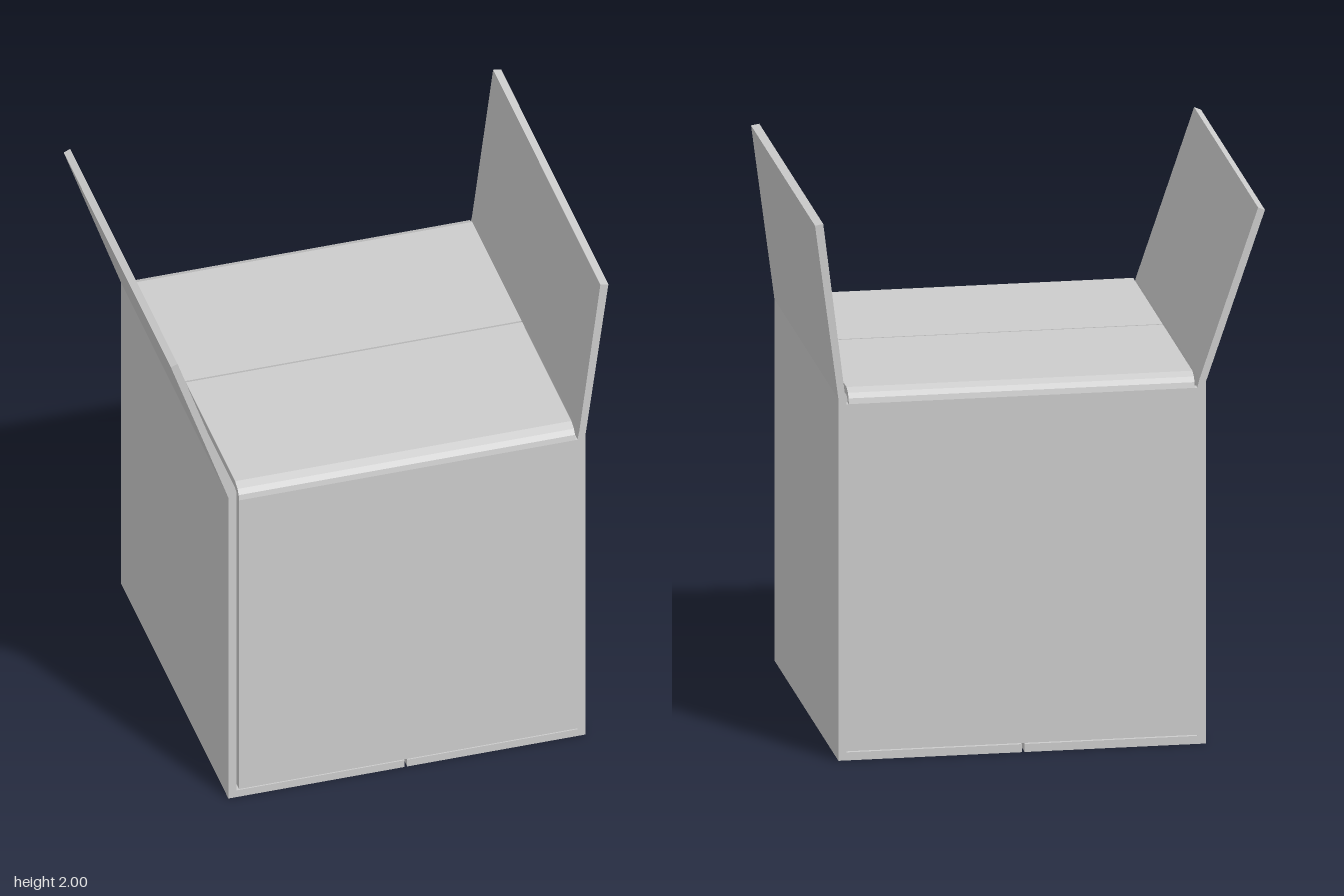
import * as THREE from 'three';

const cardboard = new THREE.MeshStandardMaterial({ color: 0xcccccc });
cardboard.name = 'plain grey card';

const DEPTH = 0.67; // half depth of the box

// Extrude a closed profile and give it a part name
function sheet(name, points, length) {
  const shape = new THREE.Shape(points.map(([u, v]) => new THREE.Vector2(u, v)));
  const geometry = new THREE.ExtrudeGeometry(shape, { depth: length, bevelEnabled: false });
  const mesh = new THREE.Mesh(geometry, cardboard);
  mesh.name = name;
  return mesh;
}

// Sheet with its profile in x-y, running the full depth
function alongZ(name, points) {
  const mesh = sheet(name, points, DEPTH * 2);
  mesh.geometry.translate(0, 0, -DEPTH);
  return mesh;
}

// Sheet with its profile in z-y, running from x0 to x1
function alongX(name, points, x0, x1) {
  const mesh = sheet(name, points, x1 - x0);
  mesh.geometry.rotateY(-Math.PI / 2).translate(x1, 0, 0);
  return mesh;
}

export function createModel() {
  const box = new THREE.Group();
  box.name = 'openBox';

  // Side walls, each folded from outer bottom flap to raised top flap
  box.add(alongZ('rightWallAndFlaps', [
    [0.053, 0], [-0.605, 0], [-0.605, 1.345], [-0.82, 1.975], [-0.795, 1.985],
    [-0.583, 1.36], [-0.575, 1.33], [-0.575, 0.03], [0.053, 0.03],
  ]));
  box.add(alongZ('leftWallAndFlaps', [
    [0.063, 0], [0.73, 0], [0.73, 1.345], [0.815, 1.995], [0.785, 2],
    [0.706, 1.36], [0.7, 1.33], [0.7, 0.03], [0.063, 0.03],
  ]));

  // Front and back walls with inner bottom flaps and closed top flaps
  for (const [side, s] of [['front', 1], ['back', -1]]) {
    const flip = (points) => points.map(([z, y]) => [z * s, y]);
    const seam = s > 0 ? -0.565 : -0.575; // open glue seam at one front corner
    box.add(alongX(side + 'Wall', flip([
      [0.005, 0.034], [0.67, 0.034], [0.67, 1.325], [0.64, 1.325], [0.64, 0.064], [0.005, 0.064],
    ]), seam, 0.7));
    box.add(alongX(side + 'TopFlap', flip([
      [0.67, 1.325], [0.665, 1.345], [0.65, 1.362], [0.62, 1.375], [0.004, 1.375],
      [0.004, 1.345], [0.62, 1.345], [0.635, 1.34], [0.64, 1.325],
    ]), -0.565, 0.692));
  }

  return box;
}
